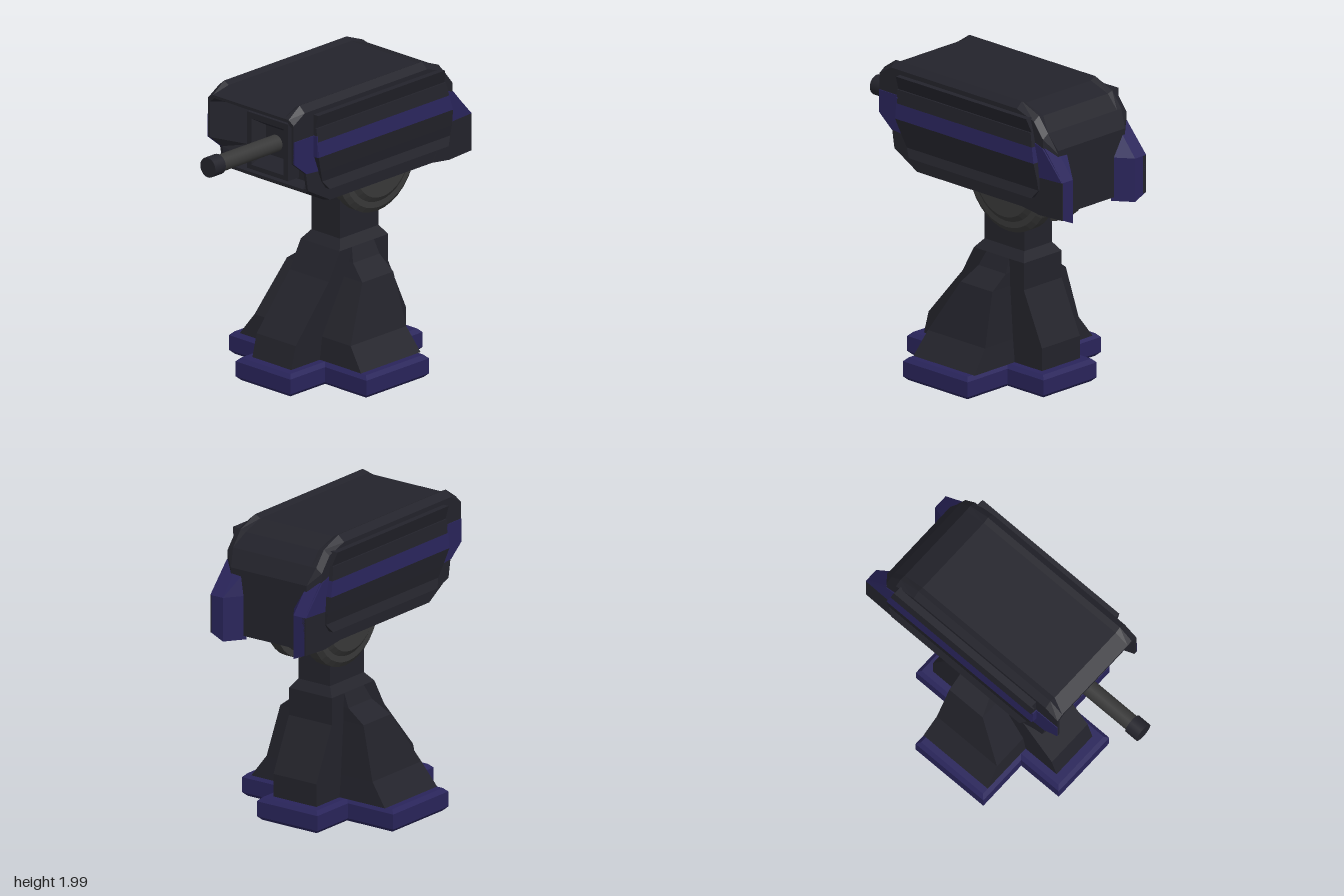
import * as THREE from 'three';

const mat = (color) => new THREE.MeshStandardMaterial({ color, flatShading: true, side: THREE.DoubleSide });

// Skin a list of equal-length point rings and cap both ends
function loft(rings) {
  const n = rings[0].length, pos = rings.flat(2), idx = [];
  for (let i = 0; i < rings.length - 1; i++) {
    for (let j = 0; j < n; j++) {
      const k = (j + 1) % n, a = i * n, b = a + n;
      idx.push(a + j, a + k, b + k, a + j, b + k, b + j);
    }
  }
  const e = (rings.length - 1) * n;
  // caps are zipped from both sides so nearly symmetric rings stay tidy
  for (let lo = 0, hi = n - 1; hi - lo > 1; lo++, hi--) {
    idx.push(hi, lo + 1, lo, e + lo, e + lo + 1, e + hi);
    if (hi - lo > 2) idx.push(hi, hi - 1, lo + 1, e + lo + 1, e + hi - 1, e + hi);
  }
  const g = new THREE.BufferGeometry();
  g.setAttribute('position', new THREE.Float32BufferAttribute(pos, 3));
  g.setIndex(idx);
  const flat = g.toNonIndexed();
  flat.computeVertexNormals();
  return flat;
}

// Stack of rectangles, rows of [y, x0, x1, z0, z1] from bottom to top
const stack = (rows) => loft(rows.map(([y, x0, x1, z0, z1]) =>
  [[x0, y, z1], [x1, y, z1], [x1, y, z0], [x0, y, z0]]));

// Side outline of [z, y] points extruded from x0 to x1
function slab(pts, x0, x1) {
  const shape = new THREE.Shape(pts.map((p) => new THREE.Vector2(...p)));
  return new THREE.ExtrudeGeometry(shape, { depth: x1 - x0, bevelEnabled: false })
    .rotateY(-Math.PI / 2).translate(x1, 0, 0);
}

export function createModel() {
  const model = new THREE.Group();
  const dark = mat(0x23232b), navy = mat(0x29245a), metal = mat(0x383838);
  const smoothMetal = new THREE.MeshStandardMaterial({ color: 0x383838 });
  const add = (name, geo, material) => {
    const m = new THREE.Mesh(geo, material);
    m.name = name;
    model.add(m);
    return m;
  };

  // Cross-shaped base plate with chamfered edges
  const quarter = [[0.6, 0.285], [0.24, 0.285], [0.24, 0.6]];
  const flip = (pts, sx, sy) => pts.map(([x, y]) => [x * sx, y * sy]);
  const cross = [...quarter, ...flip(quarter, -1, 1).reverse(), ...flip(quarter, -1, -1), ...flip(quarter, 1, -1).reverse()];
  const base = new THREE.ExtrudeGeometry(new THREE.Shape(cross.map((p) => new THREE.Vector2(...p))), {
    depth: 0.1, bevelEnabled: true, bevelSegments: 1, bevelSize: 0.025, bevelThickness: 0.025, bevelOffset: -0.025,
  });
  add('base', base.rotateX(-Math.PI / 2).translate(0, 0.025, -0.1), navy);

  // Pedestal: two crossing legs and a neck
  add('frontBackLegs', stack([
    [0.15, -0.17, 0.17, -0.62, 0.42], [0.3, -0.17, 0.17, -0.62, 0.38], [0.65, -0.17, 0.17, -0.46, 0.08],
    [0.83, -0.17, 0.17, -0.46, -0.02], [0.89, -0.125, 0.125, -0.42, -0.07],
  ]), dark);
  add('sideLegs', stack([
    [0.15, -0.53, 0.53, -0.38, 0.16], [0.3, -0.42, 0.42, -0.365, 0.14], [0.65, -0.33, 0.33, -0.34, -0.06],
    [0.74, -0.21, 0.21, -0.34, -0.1], [0.83, -0.17, 0.17, -0.33, -0.13], [0.89, -0.125, 0.125, -0.33, -0.13],
  ]), dark);
  add('neck', stack([[0.88, -0.125, 0.125, -0.42, -0.07], [1.25, -0.125, 0.125, -0.42, -0.07]]), dark);

  // Tilt drum with a central groove and raised side hubs
  const drum = [[0, -0.235], [0.24, -0.235], [0.275, -0.21], [0.315, -0.21], [0.35, -0.185], [0.35, -0.11], [0.31, -0.11]];
  const drumProfile = [...drum, ...flip(drum, 1, -1).reverse()].map((p) => new THREE.Vector2(...p));
  add('tiltDrum', new THREE.LatheGeometry(drumProfile, 32).rotateZ(-Math.PI / 2).translate(0, 1.37, -0.34), metal);

  // Housing: a funnel-mouthed shell, half rings run from roof to underside
  const ring = (half) => [...half, ...half.map(([x, y, z]) => [-x, y, z]).reverse()];
  const X = [0.29, 0.33, 0.375, 0.375, 0.375, 0.375, 0.375, 0.375, 0.29];
  const Y = [1.97, 1.99, 1.95, 1.78, 1.63, 1.53, 1.4, 1.31, 1.285];
  const lipZ = [0.61, 0.61, 0.61, 0.61, 0.61, 0.5, 0.48, 0.48, 0.48];
  const section = (zs, ys = Y, xs = X) =>
    ring(xs.map((x, i) => [x, ys[i], Array.isArray(zs) ? zs[i] : zs]));
  const low = Y.slice(4);
  add('housing', loft([
    section(0.36, [1.84, 1.84, 1.82, 1.76, 1.63, 1.54, 1.44, 1.42, 1.42], [0.22, 0.25, 0.26, 0.26, 0.26, 0.26, 0.26, 0.25, 0.22]),
    section(lipZ, [1.9, 1.9, 1.87, 1.78, 1.63, 1.54, 1.43, 1.42, 1.42], [0.28, 0.32, 0.355, 0.355, 0.355, 0.355, 0.355, 0.33, 0.28]),
    section(lipZ, [1.92, 1.92, 1.89, 1.78, 1.63, 1.54, 1.42, 1.4, 1.4], [0.29, 0.33, 0.375, 0.375, 0.375, 0.375, 0.375, 0.35, 0.29]),
    section([0.51, 0.51, 0.51, 0.5, 0.45, 0.44, 0.42, 0.28, 0.26]),
    section(-0.6),
    section(-0.75, [1.92, 1.93, 1.9, 1.78, ...low]),
    section(-0.83, [1.83, 1.83, 1.8, 1.74, ...low]),
    section(-0.89, [1.72, 1.72, 1.7, 1.68, 1.6, 1.53, 1.4, 1.31, 1.285], X.map((x) => Math.min(x, 0.3))),
  ]), dark);

  // Square gun mount with a tapered recess
  const square = (w, y0, y1, z) => [[-w, y0, z], [w, y0, z], [w, y1, z], [-w, y1, z]];
  add('gunMount', loft([
    square(0.18, 1.43, 1.81, 0.34), square(0.18, 1.43, 1.81, 0.46), square(0.14, 1.46, 1.77, 0.46), square(0.09, 1.53, 1.72, 0.38),
  ]), dark);

  // Barrel and muzzle
  const rod = (r, z0, z1) => new THREE.CylinderGeometry(r, r, z1 - z0, 24).rotateX(Math.PI / 2).translate(0, 1.62, (z0 + z1) / 2);
  add('barrel', rod(0.055, 0.3, 0.92), smoothMetal);
  add('muzzle', rod(0.066, 0.905, 1), new THREE.MeshStandardMaterial({ color: 0x23232b }));

  // Side panels, stripes, cheeks and rear fins, one set per side
  for (const s of [1, -1]) {
    const side = s > 0 ? 'left' : 'right';
    const span = (a, b) => (s > 0 ? [a, b] : [-b, -a]);
    const panel = (rows) => stack(rows.map(([y, x, z0, z1]) => [y, ...span(0.34, x), z0, z1]));
    add(side + 'LowerPanel', panel([
      [1.4, 0.375, -0.76, 0.32], [1.4, 0.41, -0.76, 0.32], [1.455, 0.385, -0.8, 0.36],
      [1.53, 0.4, -0.8, 0.39], [1.64, 0.42, -0.79, 0.43],
    ]), dark);
    add(side + 'Stripe', panel([[1.64, 0.42, -0.79, 0.43], [1.74, 0.41, -0.765, 0.43]]), navy);
    add(side + 'UpperPanel', panel([
      [1.74, 0.41, -0.765, 0.43], [1.83, 0.4, -0.745, 0.43], [1.83, 0.39, -0.745, 0.43],
      [1.92, 0.415, -0.72, 0.43], [1.92, 0.375, -0.72, 0.43],
    ]), dark);

    add(side + 'FrontCheek', slab(
      [[0.61, 1.78], [0.42, 1.78], [0.42, 1.63], [0.38, 1.53], [0.5, 1.54], [0.61, 1.63]], ...span(0.36, 0.38)), navy);
    add(side + 'CheekEdge', new THREE.BoxGeometry(0.05, 0.14, 0.012).translate(s * 0.385, 1.71, 0.43), navy);
    add(side + 'RearCheek', slab(
      [[-0.71, 1.78], [-0.83, 1.74], [-1, 1.55], [-0.78, 1.54]], ...span(0.34, 0.38)), navy);

    // Fin wedge tapering inward to the rear plate
    const fin = [[1.26, 1.3, -1], [1.55, 1.55, -1], [1.74, 1.74, -0.84]].map(([yIn, yOut, zb]) => {
      const pts = [[0.19, yIn, Math.max(zb, -0.88) + 0.005], [0.37, yOut, -0.76], [0.37, yOut, zb], [0.28, yIn, zb]];
      return s > 0 ? pts : pts.map(([x, y, z]) => [-x, y, z]).reverse();
    });
    add(side + 'Fin', loft(fin), navy);
    add(side + 'FinPlate', slab(
      [[-0.65, 1.31], [-0.78, 1.54], [-1, 1.55], [-1, 1.3], [-0.8, 1.29]], ...span(0.35, 0.377)), dark);
  }
  return model;
}
